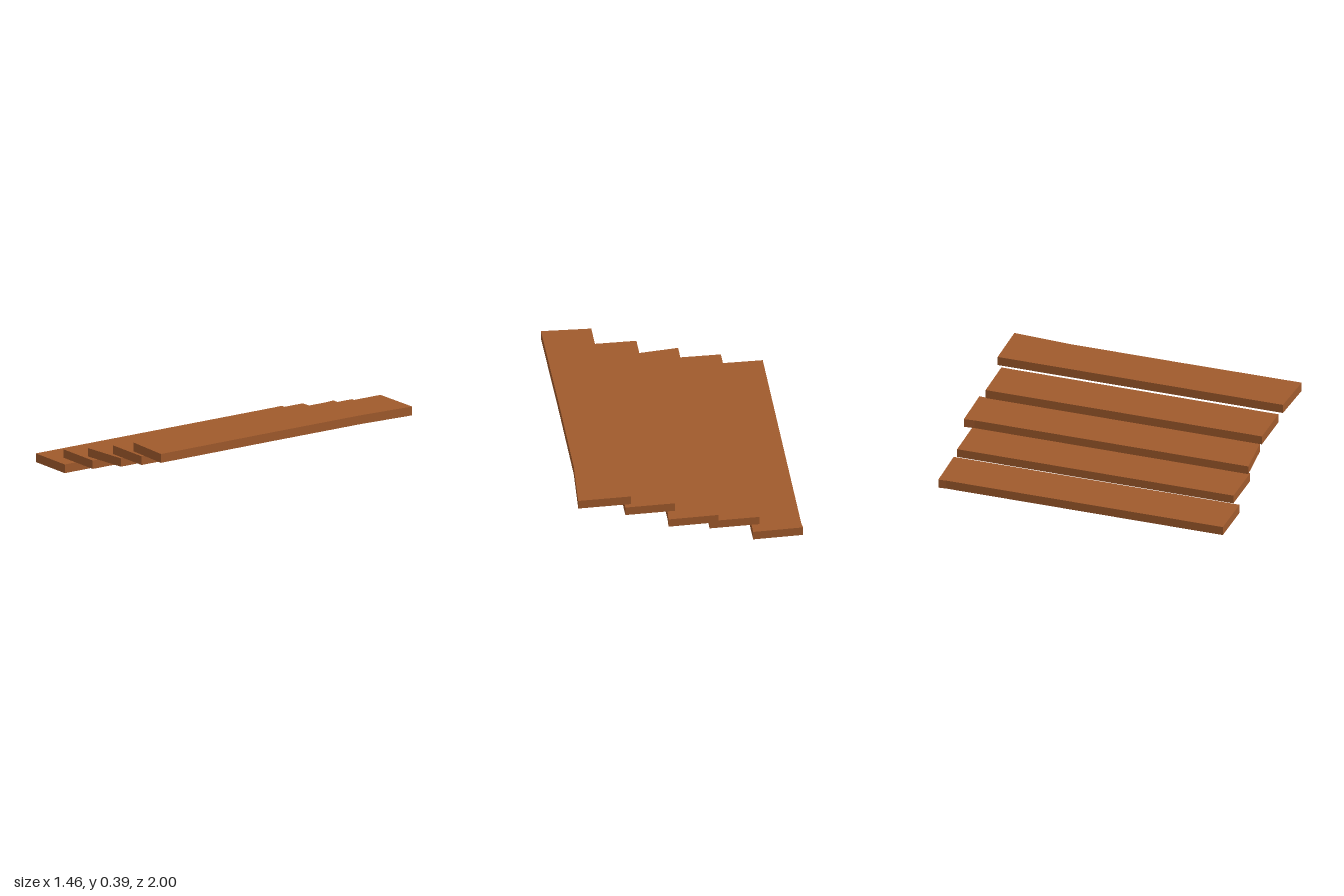
import * as THREE from 'three';

// Each plank: underside height, top height, outline as [x, z] corners
const PLANKS = [
  { y0: 0, y1: 0.058, outline: [[-0.73, -0.97], [-0.405, -0.98], [-0.403, 0.97], [-0.725, 0.97], [-0.725, -0.92]] },
  { y0: 0.088, y1: 0.144, outline: [[-0.45, -0.94], [-0.127, -0.947], [-0.127, 0.945], [-0.45, 0.945]] },
  { y0: 0.161, y1: 0.217, outline: [[-0.18, -0.99], [0.147, -1], [0.142, -0.93], [0.145, 0.916], [-0.173, 0.948], [-0.173, -0.92]] },
  { y0: 0.24, y1: 0.298, outline: [[0.097, -0.94], [0.42, -0.947], [0.417, 0.945], [0.098, 0.945]] },
  { y0: 0.331, y1: 0.39, outline: [[0.385, -0.96], [0.728, -0.967], [0.705, -0.57], [0.705, 0.15], [0.71, 1], [0.385, 0.987]] },
];

export function createModel() {
  const group = new THREE.Group();
  group.name = 'steppedPlanks';
  const wood = new THREE.MeshStandardMaterial({ color: 0xa05a2c });
  wood.name = 'brown wood';

  // Extrude every outline upwards, stepping up from left to right
  PLANKS.forEach(({ y0, y1, outline }, i) => {
    const shape = new THREE.Shape(outline.map(([x, z]) => new THREE.Vector2(x, -z)));
    const geometry = new THREE.ExtrudeGeometry(shape, { depth: y1 - y0, bevelEnabled: false });
    geometry.rotateX(-Math.PI / 2);
    const plank = new THREE.Mesh(geometry, wood);
    plank.name = `plank${i + 1}`;
    plank.position.y = y0;
    group.add(plank);
  });
  return group;
}
